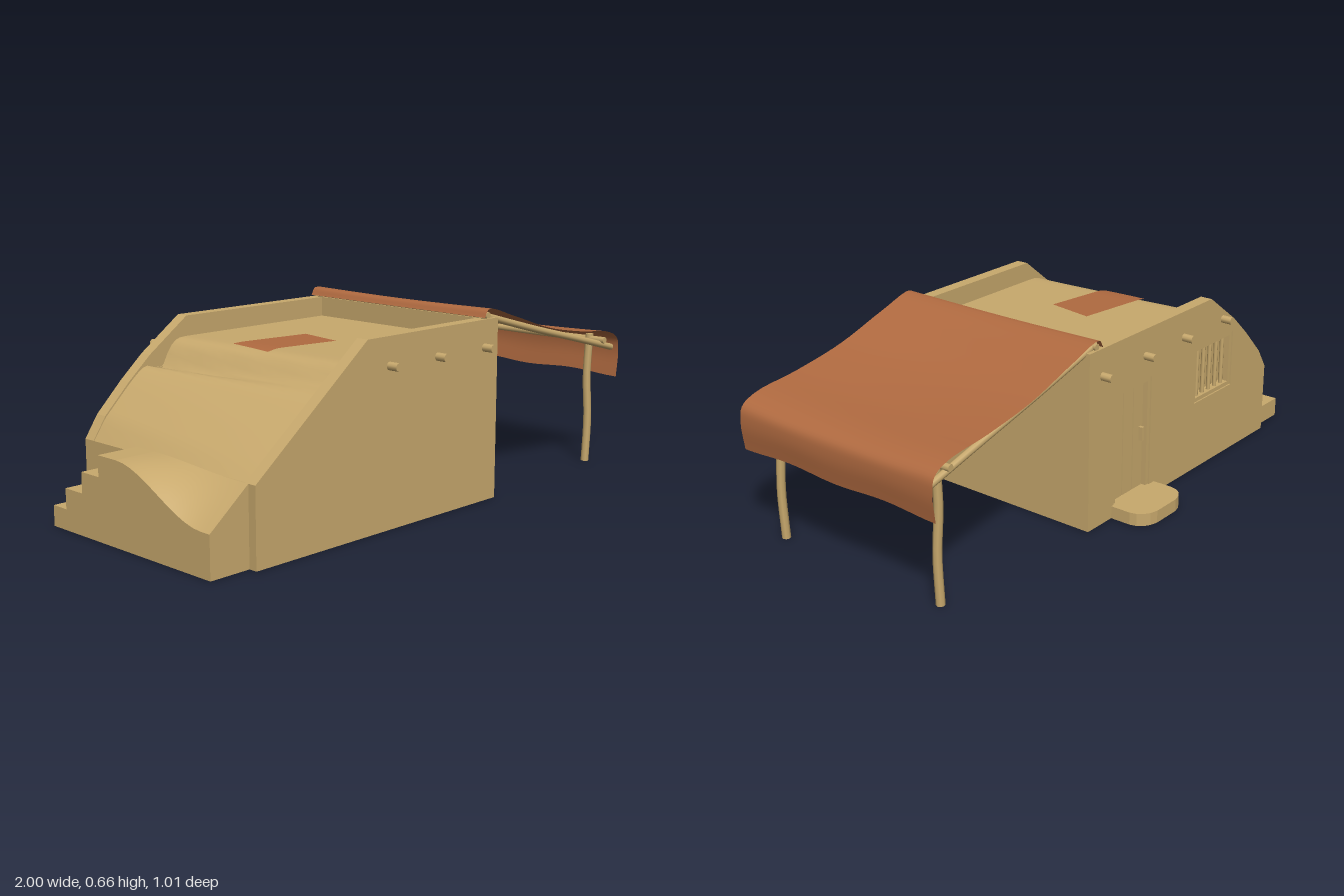
import * as THREE from 'three';

const clay = new THREE.MeshStandardMaterial({ color: 0xc8a96d });
clay.name = 'sandy clay';
const cloth = new THREE.MeshStandardMaterial({ color: 0xb06a40, side: THREE.DoubleSide });
cloth.name = 'rust cloth';

const Z0 = -0.365, Z1 = 0.465, WALL = 0.045;
const FRONT = [[-0.85, 0.26], [-0.38, 0.63], [0.26, 0.63]];
const BACK = [[-0.85, 0.26], [-0.8, 0.335], [-0.7, 0.435], [-0.61, 0.515], [-0.45, 0.63], [0.26, 0.63]];

export function createModel() {
  const model = new THREE.Group();
  const add = (name, geo, mat = clay) => {
    const m = new THREE.Mesh(geo, mat);
    m.name = name;
    model.add(m);
    return m;
  };
  // box given by its min and max corners
  const box = (name, x0, x1, y0, y1, z0, z1) =>
    add(name, new THREE.BoxGeometry(x1 - x0, y1 - y0, z1 - z0)
      .translate((x0 + x1) / 2, (y0 + y1) / 2, (z0 + z1) / 2));
  // upward-facing surface, u runs along x and v along z
  const sheet = (nu, nv, fn) => {
    const pos = [], idx = [];
    for (let i = 0; i <= nu; i++) for (let j = 0; j <= nv; j++) {
      pos.push(...fn(i / nu, j / nv));
      if (i < nu && j < nv) {
        const a = i * (nv + 1) + j, c = a + nv + 1;
        idx.push(a, a + 1, c, a + 1, c + 1, c);
      }
    }
    const g = new THREE.BufferGeometry();
    g.setAttribute('position', new THREE.Float32BufferAttribute(pos, 3));
    g.setIndex(idx);
    g.computeVertexNormals();
    return g;
  };
  const tube = (name, pts, r) => {
    const path = new THREE.CatmullRomCurve3(pts.map(p => new THREE.Vector3(...p)));
    add(name, new THREE.TubeGeometry(path, 10, r, 8));
    // end caps
    [0, 1].forEach(t => {
      const cap = add(name + 'End', new THREE.CircleGeometry(r, 8));
      const p = path.getPointAt(t);
      cap.position.copy(p);
      cap.lookAt(p.clone().addScaledVector(path.getTangentAt(t), t ? 1 : -1));
    });
  };
  const heightOn = (profile, x) => {
    for (let i = 1; i < profile.length; i++) {
      const [xa, ya] = profile[i - 1], [xb, yb] = profile[i];
      if (x <= xb) return ya + (yb - ya) * Math.max(0, (x - xa) / (xb - xa));
    }
    return 0.63;
  };

  // long side walls with sloping ends
  const sideWall = (name, profile, z, holes) => {
    const s = new THREE.Shape([[-0.85, 0], [0.26, 0], ...[...profile].reverse()]
      .map(p => new THREE.Vector2(...p)));
    for (const [x0, x1, y0, y1] of holes) {
      s.holes.push(new THREE.Path([[x0, y0], [x0, y1], [x1, y1], [x1, y0]]
        .map(p => new THREE.Vector2(...p))));
    }
    add(name, new THREE.ExtrudeGeometry(s, { depth: WALL, bevelEnabled: false }).translate(0, 0, z));
  };
  const door = [-0.09, 0.117, 0.045, 0.45], win = [-0.605, -0.36, 0.26, 0.47];
  sideWall('frontWall', FRONT, Z1 - WALL, []);
  sideWall('backWall', BACK, Z0, [door, win]);
  box('awningEndWall', 0.2, 0.26, 0, 0.63, Z0 + WALL, Z1 - WALL);
  box('stairEndWall', -0.85, -0.79, 0, 0.26, Z0 + WALL, Z1 - WALL);
  box('floor', -0.79, 0.2, 0, 0.02, Z0 + WALL, Z1 - WALL);

  // sunken roof running down into the collapsed slope
  const roofY = (x, z) => {
    const t = (z - Z0) / (Z1 - Z0);
    const edge = THREE.MathUtils.lerp(heightOn(BACK, x), heightOn(FRONT, x), t);
    const trench = 0.08 * (1 - 0.7 * t) * Math.exp(-(((x + 0.57 - 0.07 * t) / 0.045) ** 2));
    return Math.min(0.56, edge - 0.005) - trench;
  };
  add('roof', sheet(60, 14, (u, v) => {
    const x = -0.85 + 1.05 * u, z = Z0 + WALL + (Z1 - Z0 - 2 * WALL) * v;
    return [x, roofY(x, z), z];
  }));

  // cloth patch on the roof
  const corners = [[-0.465, -0.065], [-0.17, -0.025], [-0.47, 0.11], [-0.2, 0.15]];
  add('roofPatch', sheet(8, 6, (u, v) => {
    const mix = k => THREE.MathUtils.lerp(
      THREE.MathUtils.lerp(corners[0][k], corners[1][k], u),
      THREE.MathUtils.lerp(corners[2][k], corners[3][k], u), v);
    const x = mix(0), z = mix(1);
    return [x, roofY(x, z) + 0.008, z];
  }), cloth);

  // roof beam ends poking through both long walls
  const beamEnd = (x, z) => add('roofBeamEnd',
    new THREE.CylinderGeometry(0.014, 0.014, 0.06, 10).rotateX(Math.PI / 2).translate(x, 0.535, z));
  [-0.28, -0.05, 0.19].forEach(x => beamEnd(x, 0.475));
  [-0.53, -0.28, -0.05, 0.19].forEach(x => beamEnd(x, -0.375));

  // plank door set into the back wall
  box('doorBacking', door[0], door[1], door[2], door[3], -0.33, -0.315);
  for (let i = 0; i < 3; i++) {
    const x = -0.072 + i * 0.058;
    box('doorPlank', x, x + 0.053, 0.045, 0.432, -0.343, -0.33);
  }
  box('doorPost', -0.09, -0.075, 0.045, 0.45, -0.36, -0.33);
  box('doorPost', 0.102, 0.117, 0.045, 0.45, -0.36, -0.33);
  box('doorLintel', -0.075, 0.102, 0.435, 0.45, -0.36, -0.33);
  box('doorHandle', -0.063, -0.051, 0.22, 0.27, -0.358, -0.343);

  // barred window
  box('windowBacking', win[0], win[1], win[2], win[3], -0.325, -0.315);
  box('windowSill', win[0], win[1], 0.26, 0.275, -0.36, -0.325);
  box('windowLintel', win[0], win[1], 0.455, 0.47, -0.36, -0.325);
  box('windowJamb', win[0], win[0] + 0.015, 0.275, 0.455, -0.36, -0.325);
  box('windowJamb', win[1] - 0.015, win[1], 0.275, 0.455, -0.36, -0.325);
  for (let i = 1; i <= 5; i++) {
    add('windowBar', new THREE.CylinderGeometry(0.008, 0.008, 0.18, 8)
      .translate(win[0] + i * 0.0408, 0.365, -0.345));
  }

  // rounded doorstep
  const step = new THREE.Shape();
  step.moveTo(-0.12, 0.36);
  step.lineTo(0.13, 0.36);
  step.lineTo(0.13, 0.44);
  step.quadraticCurveTo(0.125, 0.495, 0.06, 0.505);
  step.lineTo(-0.05, 0.505);
  step.quadraticCurveTo(-0.115, 0.495, -0.12, 0.44);
  add('doorstep', new THREE.ExtrudeGeometry(step, { depth: 0.045, bevelEnabled: false, curveSegments: 4 })
    .rotateX(-Math.PI / 2));

  // outside stairs
  [-0.34, -0.27, -0.18, -0.09].forEach((z, i, a) =>
    box('stair', -1, -0.85, 0, 0.07 * (i + 1), z, a[i + 1] ?? 0));

  // earth ramp beside the stairs, its top twisting down to the front
  const ramp = new THREE.BoxGeometry(0.15, 1, 0.435, 6, 1, 12).translate(-0.925, 0.5, 0.2175);
  const p = ramp.attributes.position;
  for (let i = 0; i < p.count; i++) {
    const t = THREE.MathUtils.smoothstep(p.getZ(i), 0, 0.4);
    const low = 0.14 + (p.getX(i) + 1) * 0.8;
    p.setY(i, p.getY(i) * THREE.MathUtils.lerp(0.28, low, t));
  }
  ramp.computeVertexNormals();
  add('ramp', ramp);

  // awning cloth with a hanging hem
  const drape = new THREE.CatmullRomCurve3([[0.19, 0.635], [0.21, 0.662], [0.35, 0.625], [0.55, 0.562],
    [0.75, 0.525], [0.93, 0.502], [0.985, 0.472], [0.995, 0.42], [0.985, 0.33]]
    .map(([x, y]) => new THREE.Vector3(x, y, 0)));
  add('awningCloth', sheet(40, 20, (u, v) => {
    const q = drape.getPoint(u);
    const sag = -0.01 * Math.sin(Math.PI * v) * Math.sin(Math.PI * u);
    const wave = u > 0.75 ? 0.005 * Math.cos(v * Math.PI * 4 + Math.PI) * (u - 0.75) * 4 : 0;
    return [q.x, q.y + sag + wave, Z0 + (Z1 - Z0) * v];
  }), cloth);

  // awning frame
  for (const z of [0.39, -0.3]) {
    tube('awningPole', [[0.908, 0, z], [0.912, 0.17, z + 0.003], [0.907, 0.33, z - 0.003], [0.912, 0.49, z]], 0.015);
  }
  for (const z of [0.44, -0.34]) {
    tube('awningRafter', [[0.2, 0.642, z], [0.5, 0.56, z], [0.75, 0.497, z], [0.98, 0.437, z]], 0.012);
  }
  tube('awningCrossbeam', [[0.91, 0.472, Z0 + 0.005], [0.914, 0.468, 0.05], [0.91, 0.472, Z1 - 0.005]], 0.012);
  tube('awningWallBeam', [[0.215, 0.64, Z0 + 0.005], [0.215, 0.638, 0.05], [0.215, 0.64, Z1 - 0.005]], 0.012);
  return model;
}
